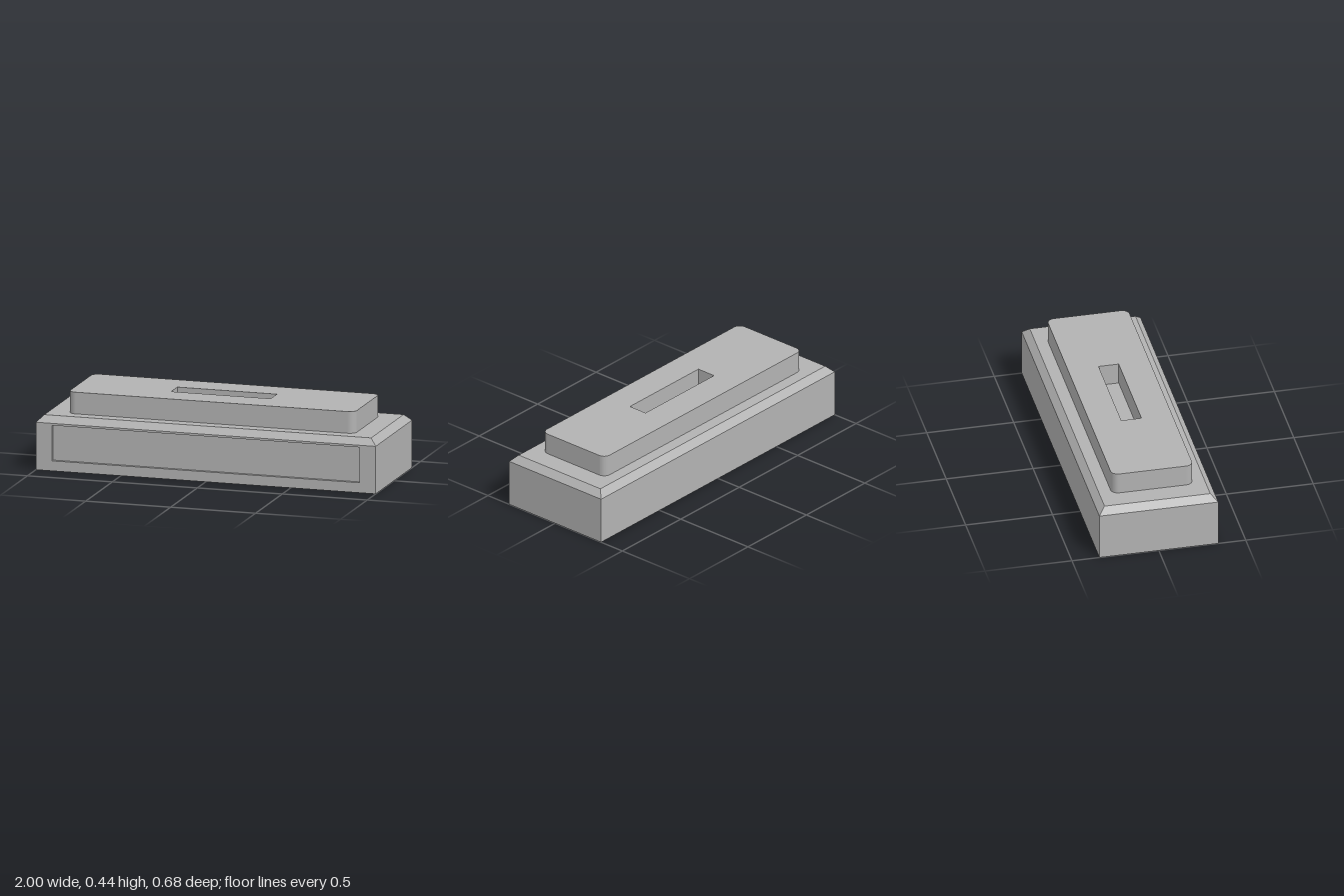
import * as THREE from 'three';

// Rectangle outline centred on (cx, cy), with optional rounded corners
function outline(w, h, r = 0, cx = 0, cy = 0, Type = THREE.Shape) {
  const s = new Type();
  const x = w / 2, y = h / 2;
  if (r === 0) {
    s.moveTo(cx - x, cy - y);
    s.lineTo(cx + x, cy - y);
    s.lineTo(cx + x, cy + y);
    s.lineTo(cx - x, cy + y);
    s.closePath();
    return s;
  }
  s.absarc(cx + x - r, cy + y - r, r, 0, Math.PI / 2);
  s.absarc(cx - x + r, cy + y - r, r, Math.PI / 2, Math.PI);
  s.absarc(cx - x + r, cy - y + r, r, Math.PI, Math.PI * 1.5);
  s.absarc(cx + x - r, cy - y + r, r, Math.PI * 1.5, Math.PI * 2);
  s.closePath();
  return s;
}

export function createModel() {
  const model = new THREE.Group();
  model.name = 'steppedBlock';
  const grey = new THREE.MeshStandardMaterial({ color: 0xb2b2b2 });
  grey.name = 'plain grey';

  const add = (name, geometry, x, y, z) => {
    const mesh = new THREE.Mesh(geometry, grey);
    mesh.name = name;
    mesh.position.set(x, y, z);
    model.add(mesh);
    return mesh;
  };

  const halfDepth = 0.342, baseHeight = 0.274, baseTop = 0.312, topHeight = 0.437;
  const recess = 0.02, bevel = 0.038;

  // Base block, its front face forming the floor of the front recess
  const bodyDepth = halfDepth * 2 - recess;
  add('baseBlock', new THREE.BoxGeometry(2, baseHeight, bodyDepth), 0, baseHeight / 2, -recess / 2);

  // Frame around the front recess
  const frame = outline(2, baseHeight, 0, 0, baseHeight / 2);
  frame.holes.push(outline(1.81, 0.204, 0, 0, 0.16, THREE.Path));
  add('frontFrame', new THREE.ExtrudeGeometry(frame, { depth: recess, bevelEnabled: false }),
    0, 0, halfDepth - recess);

  // Chamfered shoulder: a box with its upper corners drawn in
  const shoulder = new THREE.BoxGeometry(2, baseTop - baseHeight, halfDepth * 2).toNonIndexed();
  const p = shoulder.attributes.position;
  for (let i = 0; i < p.count; i++) {
    if (p.getY(i) > 0) {
      p.setX(i, p.getX(i) - Math.sign(p.getX(i)) * bevel);
      p.setZ(i, p.getZ(i) - Math.sign(p.getZ(i)) * bevel);
    }
  }
  shoulder.computeVertexNormals();
  add('chamferedShoulder', shoulder, 0, (baseTop + baseHeight) / 2, 0);

  // Raised plinth with rounded corners and a central slot
  const plinth = outline(1.686, 0.468, 0.042);
  plinth.holes.push(outline(0.586, 0.116, 0, 0, 0, THREE.Path));
  const plinthGeometry = new THREE.ExtrudeGeometry(plinth, {
    depth: topHeight - baseTop, bevelEnabled: false, curveSegments: 10,
  });
  plinthGeometry.rotateX(-Math.PI / 2);
  add('slottedPlinth', plinthGeometry, 0, baseTop, 0);

  return model;
}
